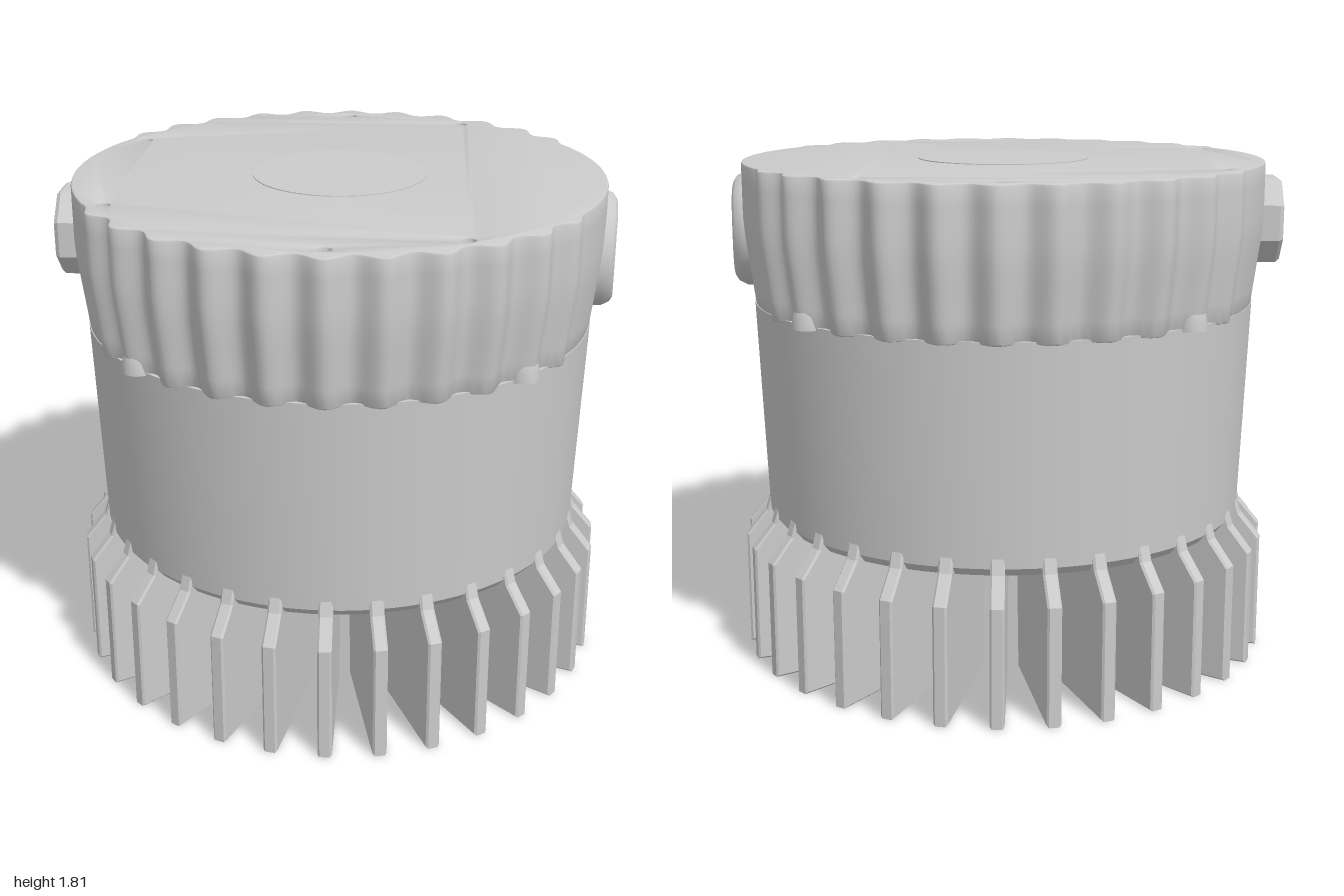
import * as THREE from 'three';
import { toCreasedNormals } from 'three/addons/utils/BufferGeometryUtils.js';

const FINS = 32;
const STEP = (Math.PI * 2) / FINS;
const grey = new THREE.MeshStandardMaterial({ color: 0xcccccc });

function part(name, geometry, parent, x = 0, y = 0, z = 0) {
  const mesh = new THREE.Mesh(geometry, grey);
  mesh.name = name;
  mesh.position.set(x, y, z);
  parent.add(mesh);
  return mesh;
}

function lathe(points, segments, crease = 0.5) {
  const g = new THREE.LatheGeometry(points.map(([x, y]) => new THREE.Vector2(x, y)), segments);
  return toCreasedNormals(g, crease);
}

// Fluted outline of the cover, fading to a plain arc on both sides
function coverRadius(a) {
  const w = THREE.MathUtils.smoothstep(Math.abs(Math.sin(a)), 0.42, 0.62);
  return 0.948 + w * (0.012 + 0.024 * Math.cos(FINS * (a - Math.PI / 2)));
}

function coverGeometry(screwAngles) {
  const bottom = 1.29, top = 1.805, bevel = 0.008;
  const outline = [];
  for (let i = 0; i < 384; i++) {
    const a = (i / 384) * Math.PI * 2, r = coverRadius(a);
    outline.push(new THREE.Vector2(r * Math.cos(a), r * Math.sin(a)));
  }
  const shape = new THREE.Shape(outline);
  for (const a of screwAngles) {
    const hole = new THREE.Path();
    hole.absarc(0.885 * Math.cos(a), 0.885 * Math.sin(a), 0.022, 0, Math.PI * 2, true);
    shape.holes.push(hole);
  }
  const g = new THREE.ExtrudeGeometry(shape, {
    depth: top - bottom - 2 * bevel, steps: 8, curveSegments: 12,
    bevelEnabled: true, bevelThickness: bevel, bevelSize: bevel, bevelOffset: -bevel, bevelSegments: 2,
  });
  g.rotateX(-Math.PI / 2);
  g.translate(0, bottom + bevel, 0);
  // Draw the lower part inwards
  const p = g.attributes.position;
  for (let i = 0; i < p.count; i++) {
    const s = 1 - 0.04 * Math.max(0, Math.min(1, (1.58 - p.getY(i)) / 0.29));
    p.setX(i, p.getX(i) * s);
    p.setZ(i, p.getZ(i) * s);
  }
  return toCreasedNormals(g, 0.7);
}

export function createModel() {
  const model = new THREE.Group();
  model.name = 'finnedHousing';
  const core = new THREE.Group();
  core.name = 'roundHousing';
  core.position.x = 0.01;
  model.add(core);

  // Barrel with its stepped underside
  part('barrel', lathe([
    [0, 0.38], [0.44, 0.38], [0.46, 0.49], [0.86, 0.5], [0.885, 0.53], [0.915, 1.3], [0, 1.3],
  ], 96), core);

  // Cooling fins, each a plate with a slanted shoulder
  const finShape = new THREE.Shape([
    [0.45, 0], [0.975, 0], [0.975, 0.42], [0.9, 0.51], [0.885, 0.56], [0.8, 0.52], [0.41, 0.5],
  ].map(([x, y]) => new THREE.Vector2(x, y)));
  const finGeometry = new THREE.ExtrudeGeometry(finShape, {
    depth: 0.036, bevelEnabled: true, bevelThickness: 0.007, bevelSize: 0.007, bevelOffset: -0.005, bevelSegments: 1,
  });
  finGeometry.translate(0, 0.002, -0.018);
  const fins = new THREE.Group();
  fins.name = 'coolingFins';
  core.add(fins);
  for (let i = 0; i < FINS; i++) part('fin', finGeometry, fins).rotation.y = i * STEP;

  // Fluted cover with six sunk screws
  const screwAngles = [60, 90, 150, 210, 270, 300].map(THREE.MathUtils.degToRad);
  part('cover', coverGeometry(screwAngles), core);
  part('coverDisc', new THREE.CylinderGeometry(0.31, 0.31, 0.006, 64), core, 0, 1.805, 0);
  const screw = new THREE.CylinderGeometry(0.028, 0.028, 0.3, 16);
  for (const a of screwAngles) part('screw', screw, core, 0.885 * Math.cos(a), 1.62, -0.885 * Math.sin(a));

  // Rounded lugs on the lower rim of the cover
  const lug = lathe([[0, 0], [0.055, 0], [0.052, 0.04], [0.042, 0.08], [0.025, 0.105], [0, 0.115]], 20, 0.8);
  for (let i = 0; i < 4; i++) {
    const a = Math.PI / 4 + (i * Math.PI) / 2;
    part('rimLug', lug, core, 0.905 * Math.cos(a), 1.29, 0.905 * Math.sin(a));
  }

  // Round boss on the left, its face curved with the cover
  const boss = lathe([
    [0.21, 0.86], [0.21, 0.955], [0.195, 0.985], [0.18, 0.995], [0.14, 0.995], [0.09, 0.995], [0.045, 0.995], [0, 0.995],
  ], 48, 0.6);
  boss.rotateZ(-Math.PI / 2);
  const p = boss.attributes.position;
  for (let i = 0; i < p.count; i++) p.setX(i, p.getX(i) - 0.5 * p.getZ(i) ** 2);
  boss.computeVertexNormals();
  part('sideBoss', toCreasedNormals(boss, 0.6), model, 0.002, 1.545, 0);

  // Cable fitting on the right: faceted nut around a sunk plug
  const fitting = new THREE.Group();
  fitting.name = 'cableFitting';
  fitting.position.set(-0.88, 1.585, 0);
  fitting.rotation.y = -Math.PI / 2;
  model.add(fitting);
  const nutShape = new THREE.Shape();
  for (let i = 0; i < 8; i++) {
    const a = ((i + 0.5) * Math.PI) / 4;
    nutShape[i ? 'lineTo' : 'moveTo'](0.166 * Math.cos(a), 0.166 * Math.sin(a));
  }
  nutShape.closePath();
  const bore = new THREE.Path();
  bore.absarc(0, 0, 0.105, 0, Math.PI * 2, true);
  nutShape.holes.push(bore);
  part('nut', new THREE.ExtrudeGeometry(nutShape, {
    depth: 0.105, curveSegments: 32, bevelEnabled: true, bevelThickness: 0.015, bevelSize: 0.012, bevelOffset: -0.012, bevelSegments: 1,
  }), fitting);
  const plug = new THREE.CylinderGeometry(0.11, 0.11, 0.09, 32);
  plug.rotateX(Math.PI / 2);
  part('plug', plug, fitting, 0, 0, 0.045);

  return model;
}
